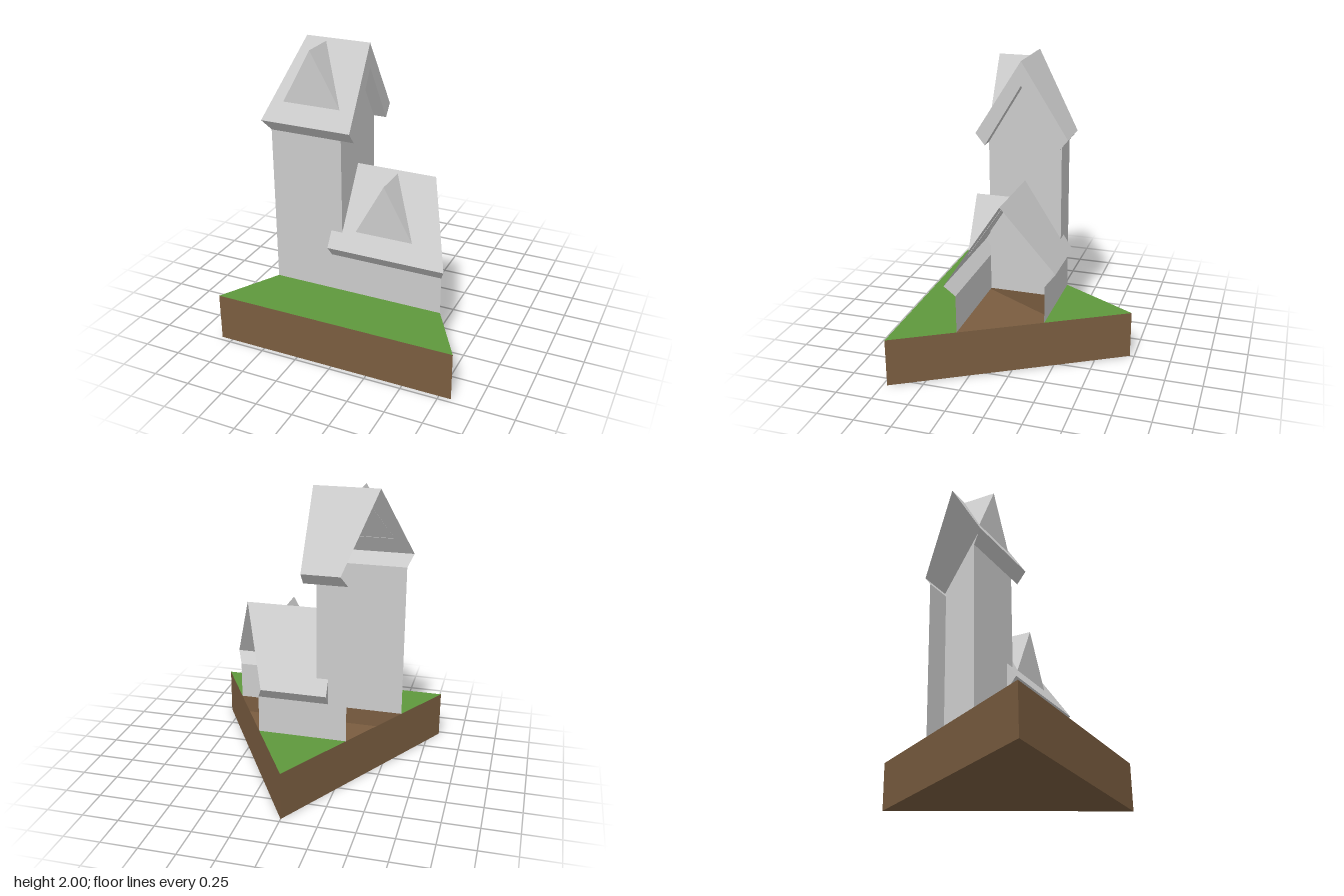
import * as THREE from 'three';

const GREY = 0xcccccc, GRASS = 0x5f983c, SOIL = 0x7a5d40;
const BACK = -0.72, FRONT = 0.72, HALF = 0.83, GROUND = 0.33;
const MID = 0.063;      // z of both ridges
const WALL = 0.254;     // half depth of the walls
const EAVE = 0.318;     // half depth at the eaves
const PARTY = -0.1;     // x of the wall between tower and cottage

// Half width of the triangular plot at depth z; everything is trimmed to it
const plot = z => HALF * (z - BACK) / (FRONT - BACK);

// Flat faceted sheet from a list of convex polygons
function sheet(name, color, polygons) {
  const pos = [];
  for (const p of polygons)
    for (let i = 1; i < p.length - 1; i++) pos.push(...p[0], ...p[i], ...p[i + 1]);
  const g = new THREE.BufferGeometry();
  g.setAttribute('position', new THREE.Float32BufferAttribute(pos, 3));
  g.computeVertexNormals();
  const mat = new THREE.MeshStandardMaterial({ color, side: THREE.DoubleSide, flatShading: true });
  const mesh = new THREE.Mesh(g, mat);
  mesh.name = name;
  return mesh;
}

// Strip between two [z, y] points, from x = inner out to the plot edge on one side
const strip = (side, inner, a, b) => [
  [inner, a[1], a[0]], [side * plot(a[0]), a[1], a[0]],
  [side * plot(b[0]), b[1], b[0]], [inner, b[1], b[0]],
];

// Gabled wing, open where the plot edge cuts it
function wing(name, side, wallTop, roofEnd, dormerX) {
  const group = new THREE.Group();
  group.name = name;
  const eaveY = wallTop + 0.08, ridgeY = wallTop + 0.58, innerY = wallTop + 0.42;
  const walls = [], roof = [];
  for (const d of [1, -1]) {
    const foot = [MID + d * WALL, GROUND], top = [MID + d * WALL, wallTop];
    const eave = [MID + d * EAVE, eaveY], ridge = [MID, ridgeY];
    const t = (EAVE - WALL) / EAVE;
    const overWall = [top[0], eaveY + t * (ridgeY - eaveY)];
    walls.push(strip(side, PARTY, foot, top));
    roof.push(strip(side, roofEnd, top, eave));                       // eave return
    roof.push(strip(side, roofEnd, eave, overWall));                  // overhanging edge
    roof.push(strip(side, side < 0 ? roofEnd : PARTY, overWall, ridge)); // main slope
    if (side < 0) {
      // Gable end of the overhang and its underside
      roof.push([top, eave, ridge, [MID, innerY]].map(([z, y]) => [roofEnd, y, z]));
      roof.push([[PARTY, wallTop, top[0]], [roofEnd, wallTop, top[0]],
        [roofEnd, innerY, MID], [PARTY, innerY, MID]]);
    } else {
      // Small end caps of the eaves beside the tower
      roof.push([top, eave, overWall].map(([z, y]) => [roofEnd, y, z]));
    }
  }
  if (side < 0) {
    const [zf, zb] = [MID + WALL, MID - WALL];
    walls.push([[PARTY, GROUND, zf], [PARTY, GROUND, zb], [PARTY, wallTop, zb],
      [PARTY, innerY, MID], [PARTY, wallTop, zf]]);
  }
  // Dormer: upright triangle whose ridge runs back into the roof
  const z = 0.305, low = eaveY + 0.117, high = ridgeY - 0.02;
  const l = [dormerX - 0.2, low, z], r = [dormerX + 0.2, low, z];
  const peak = [dormerX, high, z], tail = [dormerX, high, MID + 0.01];
  group.add(
    sheet('walls', GREY, walls),
    sheet('roof', GREY, roof),
    sheet('dormer', GREY, [[l, r, peak], [r, tail, peak], [l, peak, tail]]),
  );
  return group;
}

export function createModel() {
  const model = new THREE.Group();
  model.name = 'houseOnTriangularPlot';

  // Soil block
  const corners = [[-HALF, FRONT], [HALF, FRONT], [0, BACK]];
  const at = y => corners.map(([x, z]) => [x, y, z]);
  const lo = at(0), hi = at(GROUND);
  const soil = [[lo[0], lo[2], lo[1]]];
  for (let i = 0; i < 3; i++) {
    const j = (i + 1) % 3;
    soil.push([lo[i], lo[j], hi[j], hi[i]]);
  }
  model.add(sheet('soil', SOIL, soil));

  // Lawn in front of and behind the house
  const row = z => [[-plot(z), GROUND, z], [plot(z), GROUND, z]];
  const f = row(MID + WALL), b = row(MID - WALL);
  model.add(sheet('lawn', GRASS, [[hi[0], hi[1], f[1], f[0]], [b[0], b[1], hi[2]]]));

  model.add(wing('tower', -1, 1.42, -0.01, -0.31));
  model.add(wing('cottage', 1, 0.59, -0.18, 0.19));
  return model;
}
